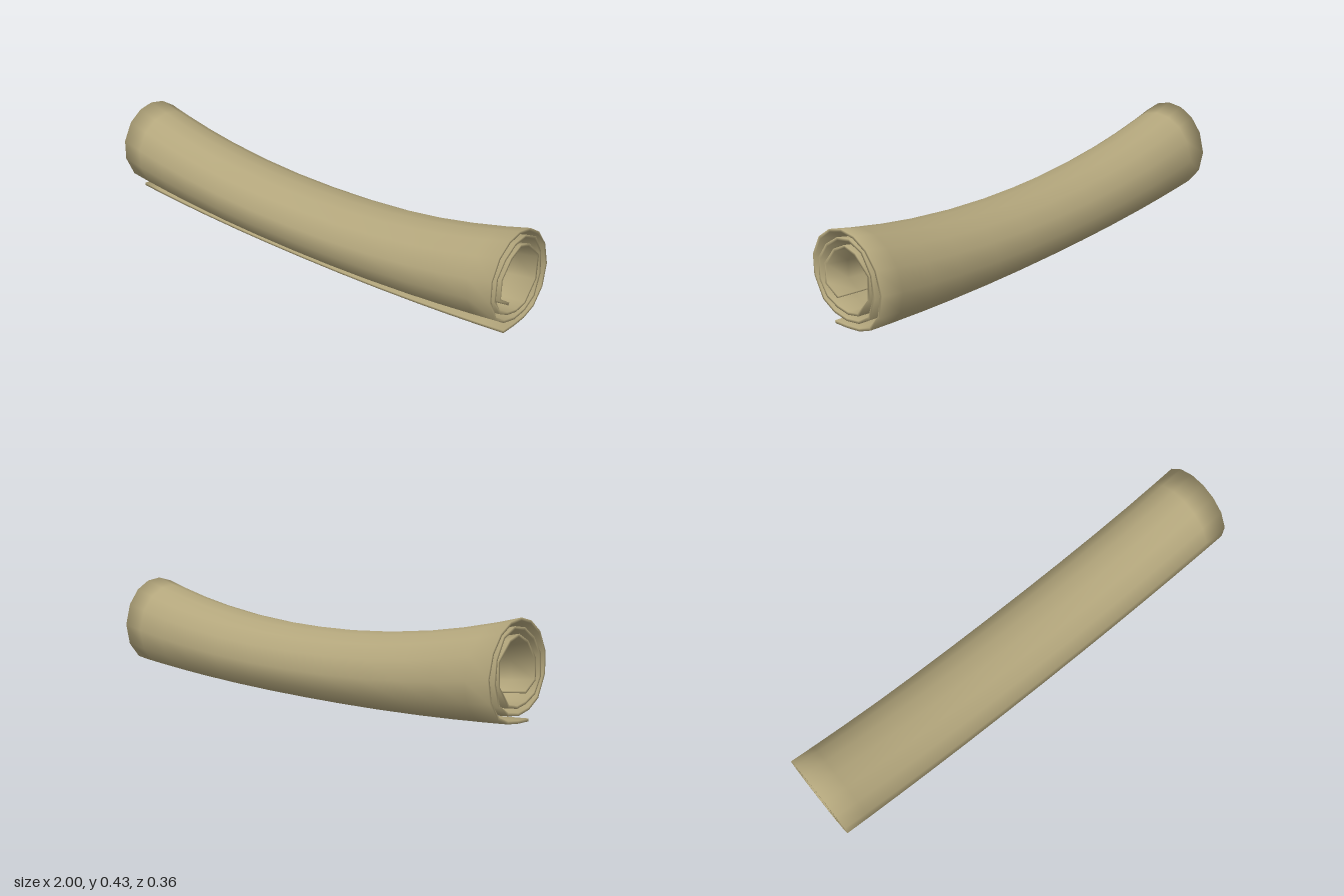
import * as THREE from 'three';

const parchment = new THREE.MeshStandardMaterial({ color: 0xb3a67c });
parchment.name = 'parchment';

// Outer line of the rolled sheet at its ends, as [z, y], from the loose lip inwards
const SPIRAL = [
  [0.08, 0.037], [0.014, 0.039], [-0.052, 0.047], [-0.112, 0.071], [-0.163, 0.135],
  [-0.181, 0.225], [-0.157, 0.316], [-0.109, 0.38], [-0.048, 0.416], [0.018, 0.425],
  [0.082, 0.408], [0.141, 0.363], [0.181, 0.284], [0.181, 0.2], [0.14, 0.115],
  [0.082, 0.08], [0.014, 0.067], [-0.052, 0.077], [-0.112, 0.115], [-0.142, 0.2],
  [-0.134, 0.29], [-0.09, 0.368], [-0.023, 0.398], [0.043, 0.387], [0.104, 0.345],
  [0.149, 0.282], [0.154, 0.193], [0.118, 0.132], [0.062, 0.105], [0.005, 0.095],
  [-0.052, 0.107], [-0.115, 0.184], [-0.121, 0.282], [-0.052, 0.352], [0.005, 0.368],
  [0.064, 0.337], [0.118, 0.268], [0.12, 0.184], [0.06, 0.144],
].map(([z, y]) => new THREE.Vector2(z, y));
const THICKNESS = 0.011;
const STATIONS = [-1, -0.9, -0.75, -0.6, -0.4, -0.2, 0, 0.2, 0.4, 0.6, 0.75, 0.9, 1];

// Offset the line towards the middle of the roll
function insetLine(points, distance) {
  return points.map((p, i) => {
    const a = points[Math.max(i - 1, 0)];
    const b = points[Math.min(i + 1, points.length - 1)];
    const d = b.clone().sub(a).normalize();
    return new THREE.Vector2(p.x + d.y * distance, p.y - d.x * distance);
  });
}

// The roll sags and flattens towards its middle
function bend(x, y) {
  const t = Math.pow(Math.abs(x), 2.15);
  return THREE.MathUtils.lerp((y - 0.037) * 0.76, y, t);
}

function rolledSheet() {
  const n = SPIRAL.length;
  const loop = [...SPIRAL, ...insetLine(SPIRAL, THICKNESS).reverse()];
  const m = loop.length;
  const positions = [];
  const index = [];
  for (const x of STATIONS) {
    for (const p of loop) positions.push(x, bend(x, p.y), p.x);
  }
  // Long faces of the sheet
  for (let s = 0; s < STATIONS.length - 1; s++) {
    for (let i = 0; i < m; i++) {
      const j = (i + 1) % m;
      const a = s * m + i, b = a + m, d = s * m + j, c = d + m;
      index.push(a, d, c, a, c, b);
    }
  }
  // Spiral rims at both ends
  const last = (STATIONS.length - 1) * m;
  for (let i = 0; i < n - 1; i++) {
    const o0 = i, o1 = i + 1, i0 = m - 1 - i, i1 = m - 2 - i;
    index.push(last + o0, last + o1, last + i1, last + o0, last + i1, last + i0);
    index.push(o0, i1, o1, o0, i0, i1);
  }
  const geometry = new THREE.BufferGeometry();
  geometry.setAttribute('position', new THREE.Float32BufferAttribute(positions, 3));
  geometry.setIndex(index);
  geometry.computeVertexNormals();

  // Soften the shading where the sheet turns over into its rims
  const normal = geometry.attributes.normal;
  const v = new THREE.Vector3();
  for (let i = 0; i < m; i++) {
    for (const [k, side] of [[i, -1], [last + i, 1]]) {
      v.fromBufferAttribute(normal, k).setX(0).normalize().setX(side).normalize();
      normal.setXYZ(k, v.x, v.y, v.z);
    }
  }
  return geometry;
}

export function createModel() {
  const group = new THREE.Group();
  group.name = 'scroll';
  const sheet = new THREE.Mesh(rolledSheet(), parchment);
  sheet.name = 'rolledSheet';
  group.add(sheet);
  return group;
}
